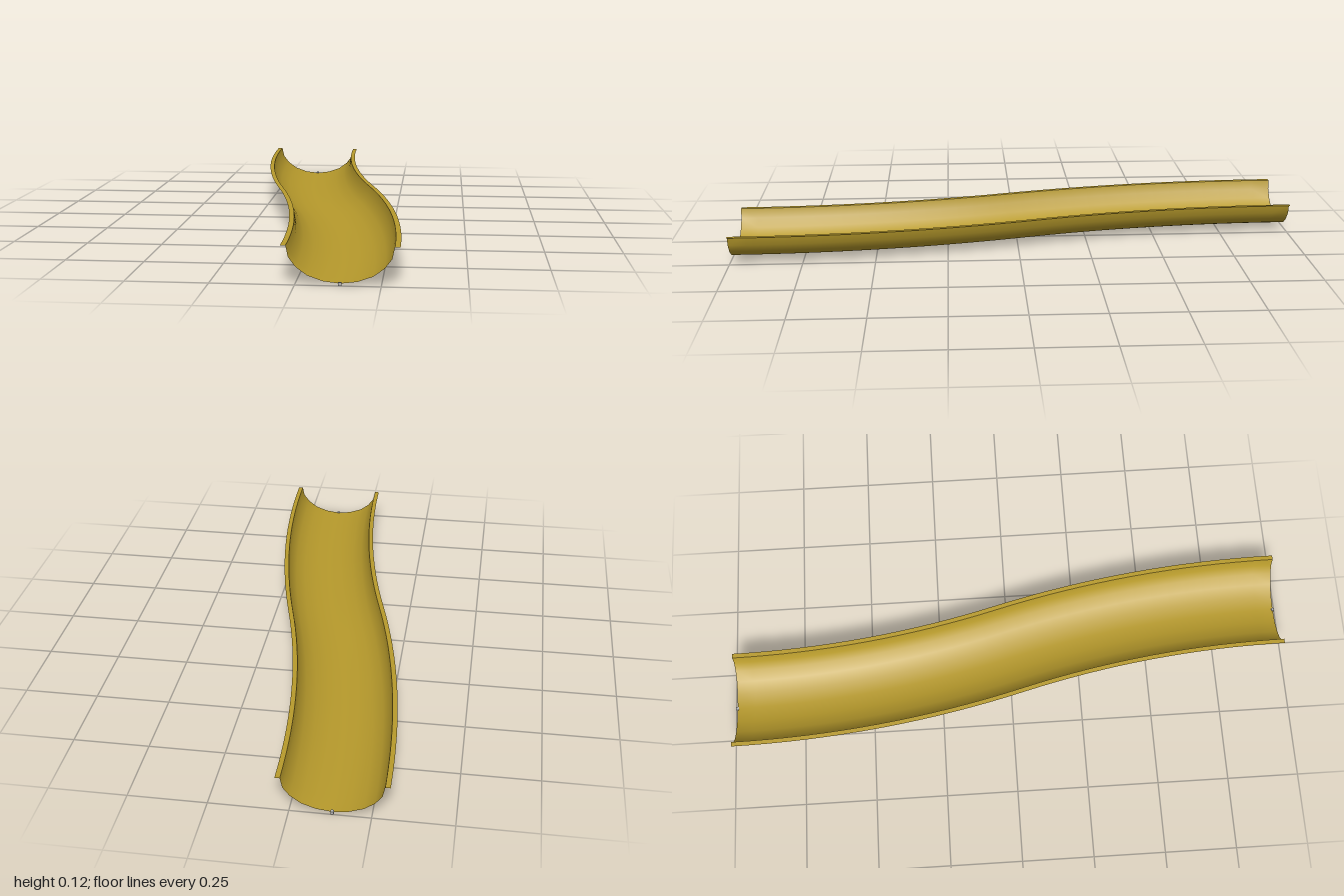
import * as THREE from 'three';

const BEND = Math.PI / 12;            // each half turns 15 degrees
const END = 0.995;                    // half length along z
const RADIUS = END / Math.sin(BEND);
const SHIFT = RADIUS * (1 - Math.cos(BEND)); // sideways offset at each end
const STEPS = 32;

// S-shaped centreline of two mirrored arcs, s from -1 (back) to 1 (front)
function pathAt(s) {
  const side = s < 0 ? -1 : 1;
  const angle = BEND * (1 - Math.abs(s));
  return {
    x: side * (SHIFT - RADIUS * (1 - Math.cos(angle))),
    z: side * (END - RADIUS * Math.sin(angle)),
    angle,
  };
}

// Sweep an open [across, height] profile along the centreline
function sweep(profile) {
  const pos = [], index = [], n = profile.length;
  for (let i = 0; i <= STEPS; i++) {
    const p = pathAt(-1 + (2 * i) / STEPS);
    for (const [u, y] of profile) {
      pos.push(p.x + u * Math.cos(p.angle), y, p.z - u * Math.sin(p.angle));
    }
  }
  for (let i = 0; i < STEPS; i++) {
    for (let j = 0; j < n - 1; j++) {
      const a = i * n + j, b = a + n;
      index.push(a, b, a + 1, b, b + 1, a + 1);
    }
  }
  const geo = new THREE.BufferGeometry();
  geo.setAttribute('position', new THREE.Float32BufferAttribute(pos, 3));
  geo.setIndex(index);
  geo.computeVertexNormals();
  return geo;
}

export function createModel() {
  const group = new THREE.Group();
  group.name = 'curvedSlide';

  const yellow = new THREE.MeshStandardMaterial({ color: 0xb89b2c, side: THREE.DoubleSide });
  yellow.name = 'mustardYellow';
  const grey = new THREE.MeshStandardMaterial({ color: 0xb4b4b4 });
  grey.name = 'lightGrey';

  const add = (name, geo, mat) => {
    const mesh = new THREE.Mesh(geo, mat);
    mesh.name = name;
    group.add(mesh);
    return mesh;
  };

  // Rounded trough
  const half = [[0.05, 0.012], [0.095, 0.028], [0.128, 0.052], [0.15, 0.081], [0.157, 0.115]];
  const left = half.map(([u, y]) => [-u, y]).reverse();
  add('trough', sweep([...left, [0, 0.006], ...half]), yellow);

  // Flat lips along both rims
  add('leftLip', sweep([[0.157, 0.115], [0.173, 0.115]]), yellow);
  add('rightLip', sweep([[-0.173, 0.115], [-0.157, 0.115]]), yellow);

  // Small connector blocks under each end
  for (const side of [-1, 1]) {
    const block = add(side < 0 ? 'backConnector' : 'frontConnector',
      new THREE.BoxGeometry(0.01, 0.01, 0.01), grey);
    block.position.set(side * SHIFT, 0.005, side * END);
  }
  return group;
}
